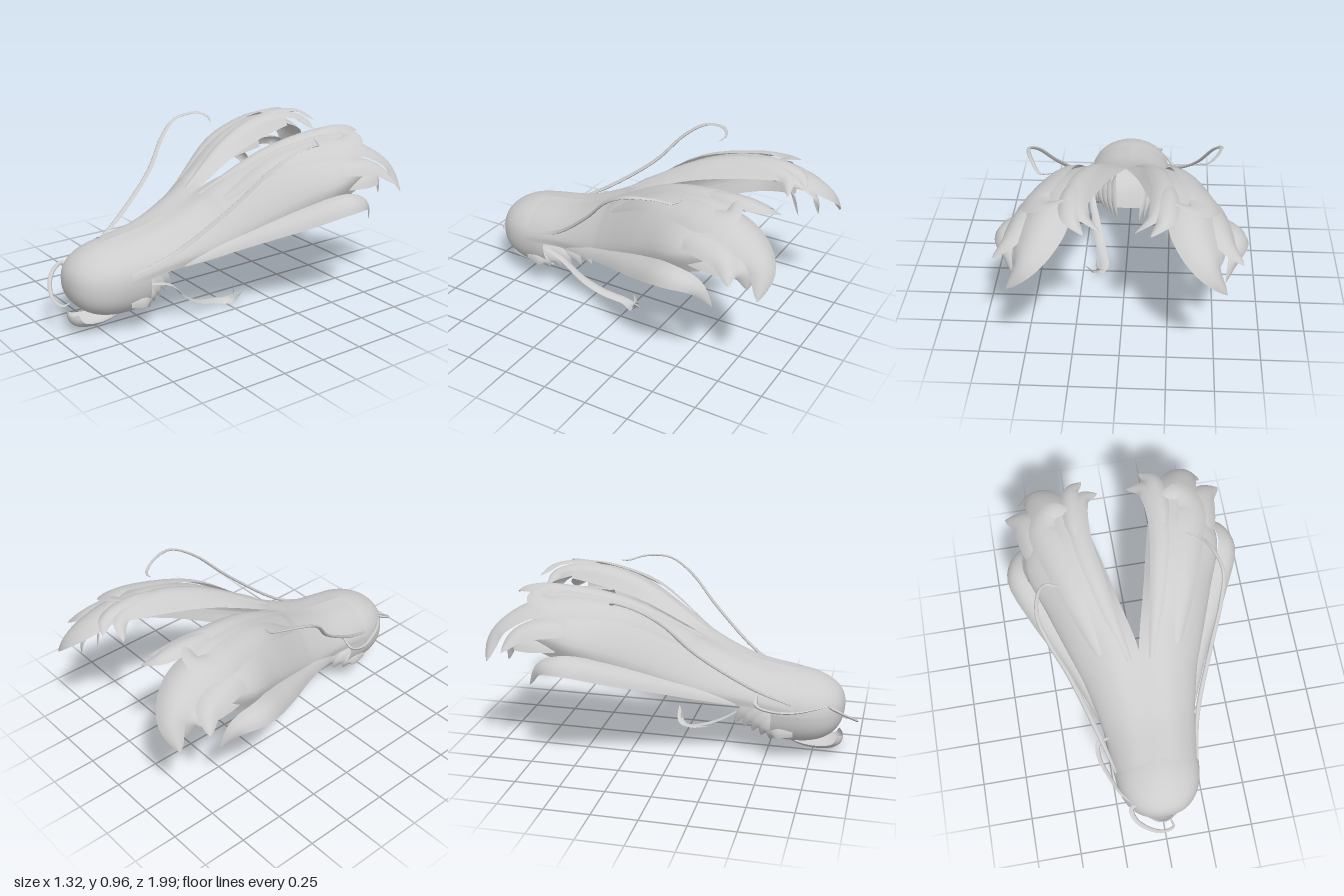
import * as THREE from 'three';
import { ParametricGeometry } from 'three/addons/geometries/ParametricGeometry.js';

const V = (a) => new THREE.Vector3(a[0], a[1], a[2]);

export function createModel() {
  const hair = new THREE.MeshStandardMaterial({ color: 0xcccccc, side: THREE.DoubleSide });
  hair.name = 'hair grey';
  const model = new THREE.Group();
  model.name = 'sweptHair';

  const addSurface = (name, fn, nu, nv) => {
    const geo = new ParametricGeometry(fn, nu, nv);
    geo.computeVertexNormals();
    const mesh = new THREE.Mesh(geo, hair);
    mesh.name = name;
    model.add(mesh);
  };

  // frame along a path: point, sideways direction and outward direction
  const frame = (curve, u, up) => {
    const p = curve.getPoint(u);
    const t = curve.getTangent(u);
    const side = new THREE.Vector3().crossVectors(t, V(up)).normalize();
    const out = new THREE.Vector3().crossVectors(side, t).normalize();
    return { p, side, out };
  };

  // cupped lock pointed at its tip; root sets how blunt it starts, s = -1 mirrors it
  const lock = (name, s, pts, width, up, cup = 0.4, root = 0.04) => {
    const curve = new THREE.CatmullRomCurve3(pts.map((a) => V([a[0] * s, a[1], a[2]])));
    const dir = [up[0] * s, up[1], up[2]];
    addSurface(name, (u, v, target) => {
      const { p, side, out } = frame(curve, u, dir);
      const w = width * Math.pow(Math.max(0, Math.sin(Math.PI * (root + (1 - root) * u))), 0.75);
      const k = v * 2 - 1;
      target.copy(p).addScaledVector(side, w * k).addScaledVector(out, w * cup * (1 - k * k));
    }, 20, 8);
  };

  // thin flattened strand, tapering to its tip
  const strand = (name, pts, radius) => {
    const curve = new THREE.CatmullRomCurve3(pts.map(V));
    addSurface(name, (u, v, target) => {
      const { p, side, out } = frame(curve, u, [0.3, 0.9, 0.35]);
      const r = radius * Math.pow(1 - u, 0.4) * Math.min(1, 0.4 + u * 4);
      const a = v * Math.PI * 2;
      target.copy(p).addScaledVector(side, r * Math.cos(a)).addScaledVector(out, r * 0.6 * Math.sin(a));
    }, 32, 6);
  };

  // rounded cap, open at the back, fuller towards its base
  const capGeo = new THREE.SphereGeometry(1, 40, 24, 0, Math.PI * 2, 0, Math.PI * 0.6);
  capGeo.rotateX(Math.PI / 2);
  const pos = capGeo.attributes.position;
  for (let i = 0; i < pos.count; i++) {
    const q = new THREE.Vector3().fromBufferAttribute(pos, i);
    const e = 2.3 - 0.4 * q.y;
    const sum = Math.abs(q.x) ** e + Math.abs(q.y) ** e + Math.abs(q.z) ** e;
    q.multiplyScalar(sum ** (-1 / e));
    pos.setXYZ(i, q.x * 0.24, 0.295 + q.y * 0.197, 0.63 + q.z * 0.29);
  }
  capGeo.computeVertexNormals();
  const cap = new THREE.Mesh(capGeo, hair);
  cap.name = 'cap';
  model.add(cap);

  // swept half shell: z, then x,y pairs from the inner to the outer edge
  const stations = [
    [0.66, 0, 0.492, 0.12, 0.466, 0.2, 0.405, 0.235, 0.34, 0.24, 0.3],
    [0.4, 0, 0.535, 0.12, 0.52, 0.21, 0.46, 0.26, 0.39, 0.26, 0.345],
    [0.15, 0, 0.63, 0.13, 0.635, 0.25, 0.56, 0.32, 0.45, 0.31, 0.37],
    [0.06, 0.002, 0.675, 0.135, 0.7, 0.265, 0.62, 0.35, 0.49, 0.335, 0.395],
    [-0.25, 0.08, 0.79, 0.17, 0.86, 0.32, 0.83, 0.46, 0.65, 0.45, 0.52],
    [-0.5, 0.14, 0.84, 0.24, 0.925, 0.38, 0.89, 0.545, 0.73, 0.51, 0.6],
    [-0.72, 0.2, 0.86, 0.28, 0.93, 0.4, 0.88, 0.49, 0.76, 0.47, 0.66],
  ];
  const rails = [0, 1, 2, 3, 4].map((i) => new THREE.CatmullRomCurve3(
    stations.map((r) => new THREE.Vector3(r[1 + i * 2], r[2 + i * 2], r[0]))));

  const up = [0.25, 1, 0.2];
  for (const s of [1, -1]) {
    const tag = s > 0 ? 'left' : 'right';
    addSurface(tag + 'Shell', (u, v, target) => {
      new THREE.CatmullRomCurve3(rails.map((c) => c.getPoint(u))).getPoint(v, target);
      target.x *= s;
    }, 40, 20);

    // locks lying on the shell, curling at the tips
    lock(tag + 'InnerLock', s, [[0.06, 0.66, 0.12], [0.165, 0.855, -0.25], [0.22, 0.925, -0.55],
      [0.18, 0.91, -0.77], [0.08, 0.845, -0.83]], 0.06, [0, 1, 0.2]);
    lock(tag + 'InnerTip', s, [[0.23, 0.92, -0.45], [0.25, 0.94, -0.65], [0.23, 0.92, -0.82],
      [0.16, 0.875, -0.9]], 0.05, up);
    lock(tag + 'MiddleLock', s, [[0.22, 0.66, 0.06], [0.31, 0.83, -0.22], [0.39, 0.885, -0.5],
      [0.42, 0.89, -0.64], [0.36, 0.92, -0.72], [0.24, 0.955, -0.69]], 0.085, [0.5, 1, 0.2], 0.25);
    lock(tag + 'BackLeaf', s, [[0.32, 0.87, -0.45], [0.34, 0.86, -0.66], [0.37, 0.81, -0.81],
      [0.44, 0.72, -0.93], [0.54, 0.59, -0.96]], 0.115, [0.2, 1, -0.4], 0.4, 0.2);
    lock(tag + 'SideLeaf', s, [[0.44, 0.78, -0.42], [0.475, 0.79, -0.6], [0.52, 0.76, -0.76],
      [0.62, 0.68, -0.84]], 0.085, [0.5, 1, -0.2], 0.4, 0.15);
    lock(tag + 'LowLeaf', s, [[0.48, 0.7, -0.55], [0.47, 0.7, -0.7], [0.45, 0.68, -0.83],
      [0.45, 0.58, -0.87]], 0.075, [0.6, 1, -0.4], 0.4, 0.2);
    lock(tag + 'OuterLock', s, [[0.25, 0.365, 0.35], [0.37, 0.47, 0.02], [0.52, 0.57, -0.28],
      [0.61, 0.63, -0.5], [0.585, 0.6, -0.64], [0.54, 0.48, -0.72]], 0.07, [0.65, 0.8, 0], 0.35, 0.08);

    // slender jagged locks at the side and back of the cap
    for (let i = 0; i < 5; i++) {
      const z = 0.66 - i * 0.025;
      const x = 0.215 - i * 0.03;
      lock(tag + 'NapeLock' + (i + 1), s, [[x, 0.2 + i * 0.028, z], [x + 0.005, 0.2 + i * 0.025, z - 0.08],
        [x - 0.01, 0.18 + i * 0.014, z - 0.12 - i * 0.02], [x - 0.03, 0.13 + i * 0.006, z - 0.13 - i * 0.03]],
      0.042, [0.9, 0.35, -0.3], 0.3, 0.2);
    }
  }

  // curled tuft beneath the cap
  lock('underTuft', 1, [[0, 0.13, 0.89], [0, 0.09, 0.87], [0, 0.07, 0.77], [0, 0.075, 0.66], [0, 0.1, 0.57]],
    0.09, [0, -1, 0], 0.5, 0.2);

  // long arching strands
  strand('leftLongStrand', [[0.23, 0.36, 0.65], [0.27, 0.44, 0.42], [0.39, 0.68, 0.12], [0.47, 0.86, -0.06],
    [0.505, 0.94, -0.2], [0.47, 0.95, -0.34], [0.42, 0.93, -0.43], [0.34, 0.95, -0.46]], 0.016);
  strand('rightLongStrand', [[-0.23, 0.36, 0.65], [-0.29, 0.46, 0.45], [-0.4, 0.68, 0.15], [-0.48, 0.85, 0],
    [-0.515, 0.93, -0.12], [-0.485, 0.95, -0.25], [-0.44, 0.93, -0.29], [-0.37, 0.91, -0.27]], 0.016);

  // loose strands in front and at the temple
  strand('frontStrand', [[-0.12, 0.34, 0.84], [-0.18, 0.345, 0.86], [-0.165, 0.31, 0.92], [-0.1, 0.26, 0.97],
    [-0.02, 0.215, 0.99], [0.04, 0.2, 0.97], [0.03, 0.2, 0.92]], 0.016);
  strand('templeStrand', [[-0.24, 0.41, 0.46], [-0.3, 0.37, 0.47], [-0.31, 0.35, 0.54], [-0.27, 0.335, 0.66],
    [-0.22, 0.345, 0.77], [-0.15, 0.35, 0.85]], 0.016);

  // trailing lock with an upturned feathered end
  lock('trailingLock', 1, [[0.22, 0.29, 0.58], [0.225, 0.25, 0.42], [0.19, 0.13, 0.3], [0.16, 0.06, 0.18],
    [0.13, 0.025, 0.05], [0.14, 0.02, -0.02], [0.16, 0.05, -0.05], [0.17, 0.12, -0.04]], 0.028, [0.2, 1, 0], 0.3);
  lock('trailingTip', 1, [[0.12, 0.03, 0.12], [0.13, 0.012, 0.02], [0.17, 0.02, -0.05], [0.235, 0.1, -0.08]],
    0.03, [0.2, 1, 0.2], 0.3);
  return model;
}
